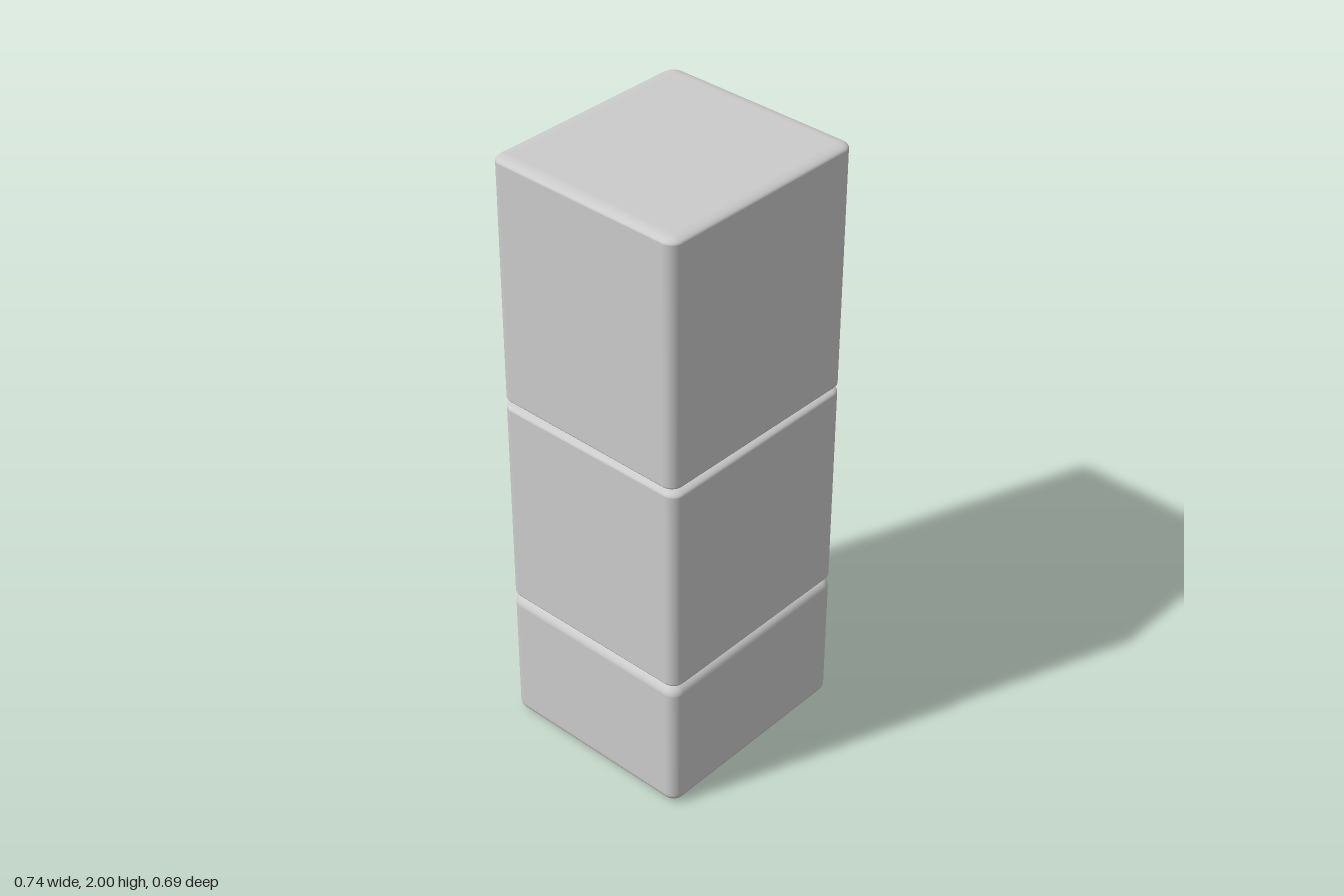
import * as THREE from 'three';
import { RoundedBoxGeometry } from 'three/addons/geometries/RoundedBoxGeometry.js';

const WIDTH = 0.736, DEPTH = 0.684, RADIUS = 0.04;

// Rounded block from y0 to y1; squash flattens the rounding of its top and bottom rims.
function block(name, material, y0, y1, squash, x, z, turn) {
  const geometry = new RoundedBoxGeometry(WIDTH, (y1 - y0) / squash, DEPTH, 5, RADIUS);
  geometry.scale(1, squash, 1);
  const mesh = new THREE.Mesh(geometry, material);
  mesh.name = name;
  mesh.position.set(x, (y0 + y1) / 2, z);
  mesh.rotation.y = turn;
  return mesh;
}

export function createModel() {
  const group = new THREE.Group();
  group.name = 'blockStack';
  const material = new THREE.MeshStandardMaterial({ color: 0xcccccc });

  group.add(
    block('bottomBlock', material, 0, 0.465, 0.85, -0.005, 0.003, 0),
    block('middleBlock', material, 0.465, 1.187, 0.45, -0.005, 0.003, 0),
    // The top block sits slightly twisted and shifted.
    block('topBlock', material, 1.187, 2, 0.4, -0.001, -0.001, -0.01)
  );
  return group;
}
